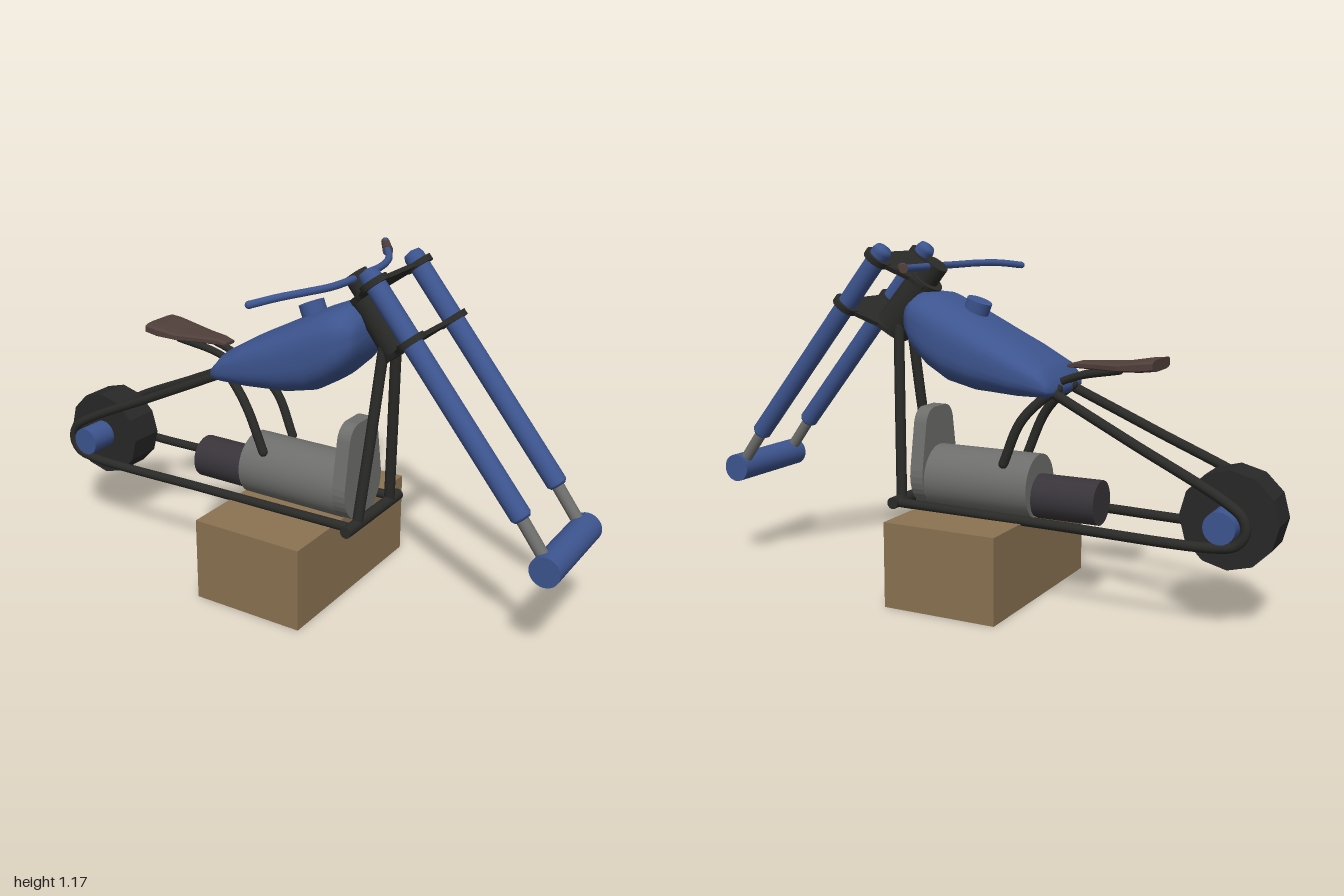
import * as THREE from 'three';

const mat = (color, flatShading = false) =>
  new THREE.MeshStandardMaterial({ color, flatShading });
const BLUE = mat(0x3d5590), BLACK = mat(0x2a2a28), GREY = mat(0x6e6e6c), MOTOR = mat(0x38343a),
  TYRE = mat(0x282828, true), BROWN = mat(0x503f3a, true), WOOD = mat(0x8b7352);
const V = (x, y, z) => new THREE.Vector3(x, y, z);

export function createModel() {
  const model = new THREE.Group();

  function add(name, geometry, material, parent = model) {
    const mesh = new THREE.Mesh(geometry, material);
    mesh.name = name;
    parent.add(mesh);
    return mesh;
  }

  // Closed cylinder between two points
  function rod(name, a, b, r, material, parent = model, sides = 20, r2 = r) {
    const axis = b.clone().sub(a);
    const mesh = add(name, new THREE.CylinderGeometry(r2, r, axis.length(), sides), material, parent);
    mesh.position.copy(a).add(b).multiplyScalar(0.5);
    mesh.quaternion.setFromUnitVectors(V(0, 1, 0), axis.normalize());
    return mesh;
  }

  // Bent round tube with rounded ends
  function pipe(name, points, r, material, segments = 40) {
    const curve = new THREE.CatmullRomCurve3(points, false, 'centripetal');
    add(name, new THREE.TubeGeometry(curve, segments, r, 10), material);
    for (const p of [points[0], points[points.length - 1]])
      add(name + 'End', new THREE.SphereGeometry(r, 10, 8), material).position.copy(p);
  }

  // Superellipse loft along x; each section is [x, top, bottom, half width]
  function loft(sections, power, n) {
    const pos = [], idx = [];
    const bend = v => Math.sign(v) * Math.abs(v) ** (2 / power);
    for (const [x, top, bottom, w] of sections)
      for (let j = 0; j < n; j++) {
        const a = ((j + 0.5) / n) * Math.PI * 2;
        pos.push(x, (top + bottom) / 2 + ((top - bottom) / 2) * bend(Math.sin(a)), w * bend(Math.cos(a)));
      }
    const last = sections.length - 1;
    for (let i = 0; i < last; i++)
      for (let j = 0; j < n; j++) {
        const a = i * n + j, b = i * n + (j + 1) % n;
        idx.push(a, a + n, b, b, a + n, b + n);
      }
    for (const i of [0, last]) {
      const [x, top, bottom] = sections[i], c = pos.length / 3;
      pos.push(x, (top + bottom) / 2, 0);
      for (let j = 0; j < n; j++) {
        const a = i * n + j, b = i * n + (j + 1) % n;
        if (i === 0) idx.push(c, a, b); else idx.push(c, b, a);
      }
    }
    const g = new THREE.BufferGeometry();
    g.setAttribute('position', new THREE.Float32BufferAttribute(pos, 3));
    g.setIndex(idx);
    g.computeVertexNormals();
    return g;
  }

  // Display crate
  add('crate', new THREE.BoxGeometry(0.4, 0.285, 0.685), WOOD).position.set(0.005, 0.1425, 0.003);

  // Rear wheel and hub
  rod('rearWheel', V(-0.845, 0.355, -0.062), V(-0.845, 0.355, 0.064), 0.155, TYRE, model, 12);
  rod('rearHub', V(-0.845, 0.355, -0.163), V(-0.845, 0.355, 0.163), 0.05, BLUE);

  // Frame tubes, mirrored
  for (const s of [-1, 1]) {
    pipe('frameRail', [
      V(-0.27, 0.705, s * 0.08), V(-0.55, 0.575, s * 0.112), V(-0.86, 0.43, s * 0.143),
      V(-0.91, 0.39, s * 0.143), V(-0.92, 0.345, s * 0.143), V(-0.895, 0.305, s * 0.143),
      V(-0.84, 0.29, s * 0.143), V(-0.3, 0.292, s * 0.143), V(0.28, 0.3, s * 0.143)
    ], 0.016, BLACK, 90);
    pipe('downTube', [V(0.325, 0.9, s * 0.04), V(0.305, 0.62, s * 0.07), V(0.28, 0.3, s * 0.107)], 0.018, BLACK);
    pipe('seatTube', [
      V(-0.28, 0.715, s * 0.06), V(-0.22, 0.67, s * 0.075), V(-0.16, 0.6, s * 0.09), V(-0.1, 0.46, s * 0.09)
    ], 0.016, BLACK);
    pipe('seatSupport', [V(-0.22, 0.71, s * 0.03), V(-0.33, 0.755, s * 0.03), V(-0.48, 0.785, s * 0.045)], 0.013, BLACK);
  }
  rod('frontCrossTube', V(0.28, 0.3, -0.168), V(0.28, 0.3, 0.182), 0.02, BLACK);
  rod('backbone', V(-0.2, 0.74, 0), V(0.28, 0.98, 0), 0.03, BLACK);

  // Engine, gearbox and front cover
  rod('engine', V(-0.19, 0.375, 0), V(0.205, 0.375, 0), 0.11, GREY, model, 32);
  rod('gearbox', V(-0.41, 0.345, 0), V(-0.185, 0.345, 0), 0.074, MOTOR, model, 24);
  const cover = new THREE.Shape();
  cover.moveTo(-0.04, 0.618);
  cover.lineTo(0.04, 0.618);
  cover.quadraticCurveTo(0.08, 0.61, 0.09, 0.57);
  cover.lineTo(0.118, 0.41);
  cover.bezierCurveTo(0.13, 0.33, 0.07, 0.27, 0, 0.27);
  cover.bezierCurveTo(-0.07, 0.27, -0.13, 0.33, -0.118, 0.41);
  cover.lineTo(-0.09, 0.57);
  cover.quadraticCurveTo(-0.08, 0.61, -0.04, 0.618);
  const coverGeo = new THREE.ExtrudeGeometry(cover, { depth: 0.048, bevelEnabled: false, curveSegments: 10 });
  coverGeo.rotateY(Math.PI / 2);
  add('engineCover', coverGeo, GREY).position.x = 0.19;

  // Fuel tank and filler cap
  add('fuelTank', loft([
    [-0.284, 0.725, 0.703, 0.12], [-0.272, 0.755, 0.69, 0.145], [-0.24, 0.795, 0.684, 0.157],
    [-0.15, 0.848, 0.682, 0.163], [0, 0.925, 0.69, 0.165], [0.1, 0.975, 0.713, 0.165],
    [0.17, 1.005, 0.755, 0.162], [0.22, 1.008, 0.802, 0.152], [0.25, 0.985, 0.85, 0.13],
    [0.262, 0.955, 0.89, 0.095]
  ], 2.8, 32), BLUE);
  rod('fillerCap', V(0.053, 0.93, 0), V(0.033, 0.982, 0), 0.043, BLUE, model, 24);

  // Saddle
  add('seat', loft([
    [-0.6, 0.826, 0.788, 0.082], [-0.56, 0.822, 0.783, 0.085], [-0.48, 0.808, 0.78, 0.076],
    [-0.4, 0.805, 0.78, 0.05], [-0.33, 0.802, 0.78, 0.033], [-0.295, 0.792, 0.781, 0.026]
  ], 4, 12), BROWN);

  // Front end, built upright around the steering axis and raked
  const front = new THREE.Group();
  front.name = 'frontFork';
  front.position.set(0.37, 0.88, 0);
  front.rotation.z = 0.68;
  model.add(front);
  rod('steeringHead', V(0, -0.008, 0), V(0, 0.215, 0), 0.066, BLACK, front, 28, 0.06);
  rod('steeringStem', V(0, 0.2, 0), V(0, 0.28, 0), 0.04, BLACK, front, 24);

  const plate = new THREE.Shape([
    [-0.03, 0.06], [-0.03, -0.06], [0.02, -0.08], [0.1, -0.165], [0.15, -0.165],
    [0.15, 0.165], [0.1, 0.165], [0.02, 0.08]
  ].map(p => new THREE.Vector2(...p)));
  const plateGeo = new THREE.ExtrudeGeometry(plate, { depth: 0.014, bevelEnabled: false });
  plateGeo.rotateX(-Math.PI / 2);
  for (const y of [0, 0.203]) {
    add('forkYoke', plateGeo, BLACK, front).position.y = y - 0.007;
    for (const s of [-1, 1])
      rod('forkClamp', V(0.128, y - 0.01, s * 0.14), V(0.128, y + 0.01, s * 0.14), 0.046, BLACK, front, 24);
  }

  const tubeProfile = [[0, -0.61], [0.026, -0.61], [0.033, -0.6], [0.033, 0.23], [0.027, 0.246], [0, 0.252]]
    .map(p => new THREE.Vector2(...p));
  for (const s of [-1, 1]) {
    add('forkTube', new THREE.LatheGeometry(tubeProfile, 24), BLUE, front).position.set(0.128, 0, s * 0.14);
    rod('forkSlider', V(0.119, -0.765, s * 0.14), V(0.127, -0.58, s * 0.14), 0.02, GREY, front);
  }
  rod('frontHub', V(0.117, -0.77, -0.172), V(0.117, -0.77, 0.178), 0.049, BLUE, front, 28);

  // Handlebar with one grip
  pipe('handlebar', [
    V(0.07, 1.105, -0.415), V(0.125, 1.1, -0.33), V(0.175, 1.093, -0.25), V(0.203, 1.09, -0.15),
    V(0.21, 1.09, 0), V(0.203, 1.09, 0.15), V(0.175, 1.092, 0.25), V(0.135, 1.09, 0.34), V(0.088, 1.08, 0.42)
  ], 0.012, BLUE, 60);
  rod('grip', V(0.064, 1.102, -0.425), V(0.13, 1.097, -0.325), 0.014, BROWN, model, 12, 0.018);

  return model;
}
